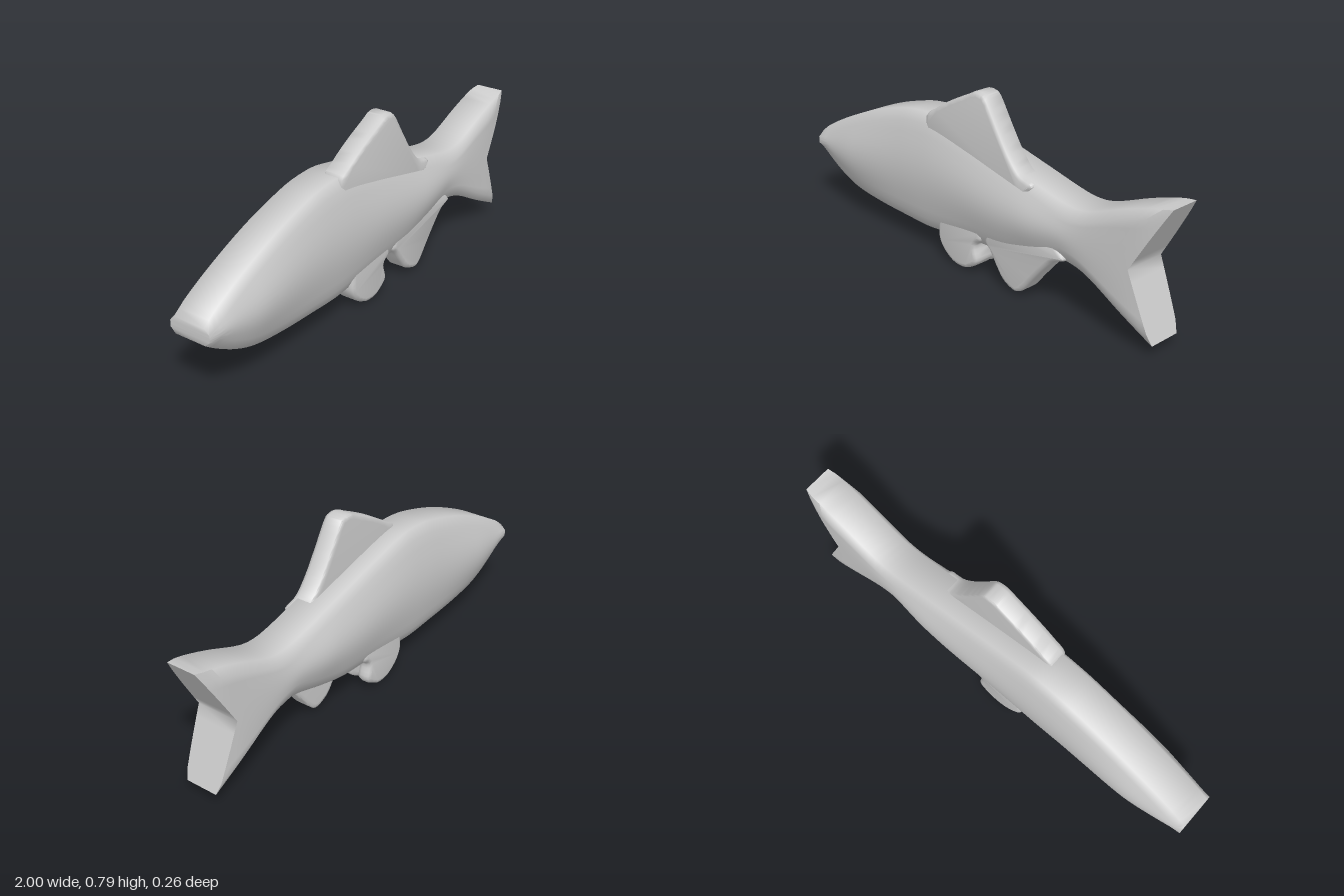
import * as THREE from 'three';
import { toCreasedNormals } from 'three/addons/utils/BufferGeometryUtils.js';

const material = new THREE.MeshStandardMaterial({ color: 0xcccccc });

// Smooth curve y(x) through [x, y] points
function profile(pts) {
  const slope = pts.map((p, i) => {
    const a = pts[Math.max(i - 1, 0)], b = pts[Math.min(i + 1, pts.length - 1)];
    return (b[1] - a[1]) / (b[0] - a[0]);
  });
  return (x) => {
    let i = 0;
    while (i < pts.length - 2 && x > pts[i + 1][0]) i++;
    const [x0, y0] = pts[i], [x1, y1] = pts[i + 1], h = x1 - x0;
    const t = THREE.MathUtils.clamp((x - x0) / h, 0, 1), t2 = t * t, t3 = t2 * t;
    return y0 * (2 * t3 - 3 * t2 + 1) + slope[i] * h * (t3 - 2 * t2 + t)
      + y1 * (3 * t2 - 2 * t3) + slope[i + 1] * h * (t3 - t2);
  };
}

const backLine = profile([[-1, 0.34], [-0.95, 0.38], [-0.8, 0.46], [-0.6, 0.545], [-0.4, 0.605], [-0.3, 0.62],
  [-0.2, 0.62], [0, 0.58], [0.15, 0.545], [0.3, 0.51], [0.5, 0.465], [0.58, 0.46], [0.65, 0.475],
  [0.8, 0.535], [0.92, 0.575], [1, 0.592]]);
const bellyLine = profile([[-1, 0.27], [-0.95, 0.235], [-0.85, 0.18], [-0.75, 0.145], [-0.6, 0.125], [-0.4, 0.115],
  [-0.25, 0.112], [0, 0.14], [0.2, 0.155], [0.35, 0.19], [0.5, 0.232], [0.58, 0.225], [0.65, 0.2],
  [0.8, 0.12], [0.95, 0.047]]);
const halfWidth = profile([[-1, 0.092], [-0.88, 0.11], [-0.72, 0.128], [-0.4, 0.126], [0.3, 0.126], [0.55, 0.102],
  [0.8, 0.095], [0.92, 0.085], [1, 0.066]]);

// Body and tail: bevelled, bulging cross-sections; the last ones bend into the fork
function bodyGeometry() {
  const rings = 72, levels = 10, side = levels + 3, n = side * 2;
  const pos = [], index = [];
  for (let i = 0; i <= rings; i++) {
    const u = -1 + 1.84 * (i / rings);
    const k = Math.pow(Math.max(0, (u - 0.4) / 0.44), 1.5);
    const top = backLine(u + 0.16 * k), bottom = bellyLine(u + 0.11 * k), h = top - bottom;
    const bevel = Math.min(0.045, h * 0.3) / h;
    const ring = [];
    for (let j = 0; j < side; j++) {
      const s = (j - 1) / levels;
      const t = j === 0 ? 0 : j === side - 1 ? 1 : bevel + (1 - 2 * bevel) * s;
      const x = u + k * (t < 0.5 ? 0.11 * (1 - 2 * t) : 0.16 * (2 * t - 1));
      const w = halfWidth(x), edge = Math.min(0.092, w);
      const z = j === 0 || j === side - 1
        ? Math.min(0.07, edge * 0.95)
        : edge + (w - edge) * Math.sin(Math.PI * s);
      ring.push([x, bottom + h * t, z]);
    }
    for (const p of ring) pos.push(...p);
    for (const [x, y, z] of ring.reverse()) pos.push(x, y, -z);
  }
  const quad = (a, b, c, d) => index.push(a, b, c, a, c, d);
  for (let i = 0; i < rings; i++) {
    for (let j = 0; j < n; j++) {
      const a = i * n + j, b = i * n + (j + 1) % n;
      quad(a, a + n, b + n, b);
    }
  }
  // Flat nose and tail ends
  const last = rings * n;
  for (let j = 0; j < side - 1; j++) {
    quad(j, j + 1, n - 2 - j, n - 1 - j);
    quad(last + n - 1 - j, last + n - 2 - j, last + j + 1, last + j);
  }
  const g = new THREE.BufferGeometry();
  g.setAttribute('position', new THREE.Float32BufferAttribute(pos, 3));
  g.setIndex(index);
  return toCreasedNormals(g, 1.2);
}

// Fin: bevelled slab between z0 and z1, its root sunk in the body
function finGeometry(outline, z0, z1, innerBevel = 0.006, outerBevel = 0.02) {
  const pts = outline.map(([x, y]) => new THREE.Vector2(x, y));
  const shape = new THREE.Shape();
  shape.moveTo(pts[0].x, pts[0].y);
  shape.splineThru(pts.slice(1));
  const depth = z1 - z0 - innerBevel - outerBevel;
  const g = new THREE.ExtrudeGeometry(shape, {
    depth, curveSegments: 4, bevelEnabled: true, bevelSegments: 2,
    bevelSize: 0.018, bevelThickness: 0.02, bevelOffset: -0.018,
  });
  const p = g.attributes.position;
  for (let i = 0; i < p.count; i++) {
    let z = p.getZ(i);
    if (z < 0) z *= innerBevel / 0.02;
    else if (z > depth) z = depth + (z - depth) * outerBevel / 0.02;
    p.setZ(i, z + z0 + innerBevel);
  }
  return toCreasedNormals(g, 0.9);
}

export function createModel() {
  const model = new THREE.Group();
  model.name = 'fish';
  const add = (name, geometry) => {
    const mesh = new THREE.Mesh(geometry, material);
    mesh.name = name;
    model.add(mesh);
  };

  add('bodyAndTail', bodyGeometry());

  add('dorsalFin', finGeometry([[-0.2, 0.42], [-0.25, 0.6], [-0.19, 0.66], [-0.1, 0.715], [0, 0.765], [0.04, 0.785],
    [0.08, 0.785], [0.11, 0.765], [0.17, 0.67], [0.23, 0.58], [0.29, 0.515], [0.36, 0.485], [0.3, 0.42]], 0.002, 0.094));

  const pelvic = [[-0.17, 0.24], [-0.18, 0.15], [-0.178, 0.095], [-0.15, 0.05], [-0.1, 0.015], [-0.05, 0.005],
    [0, 0.015], [0.055, 0.06], [0.042, 0.13], [0.08, 0.17], [0.06, 0.24]];
  add('leftSidePelvicFin', finGeometry(pelvic, 0.002, 0.093));
  add('rightSidePelvicFin', finGeometry(pelvic.map(([x, y]) => [x, y - 0.005]), -0.09, -0.03, 0.02, 0.02));

  add('analFin', finGeometry([[0.14, 0.28], [0.1, 0.18], [0.13, 0.14], [0.17, 0.08], [0.21, 0.035], [0.27, 0.012],
    [0.31, 0.03], [0.36, 0.09], [0.42, 0.16], [0.47, 0.21], [0.53, 0.24], [0.48, 0.29]], 0.002, 0.094));

  return model;
}
